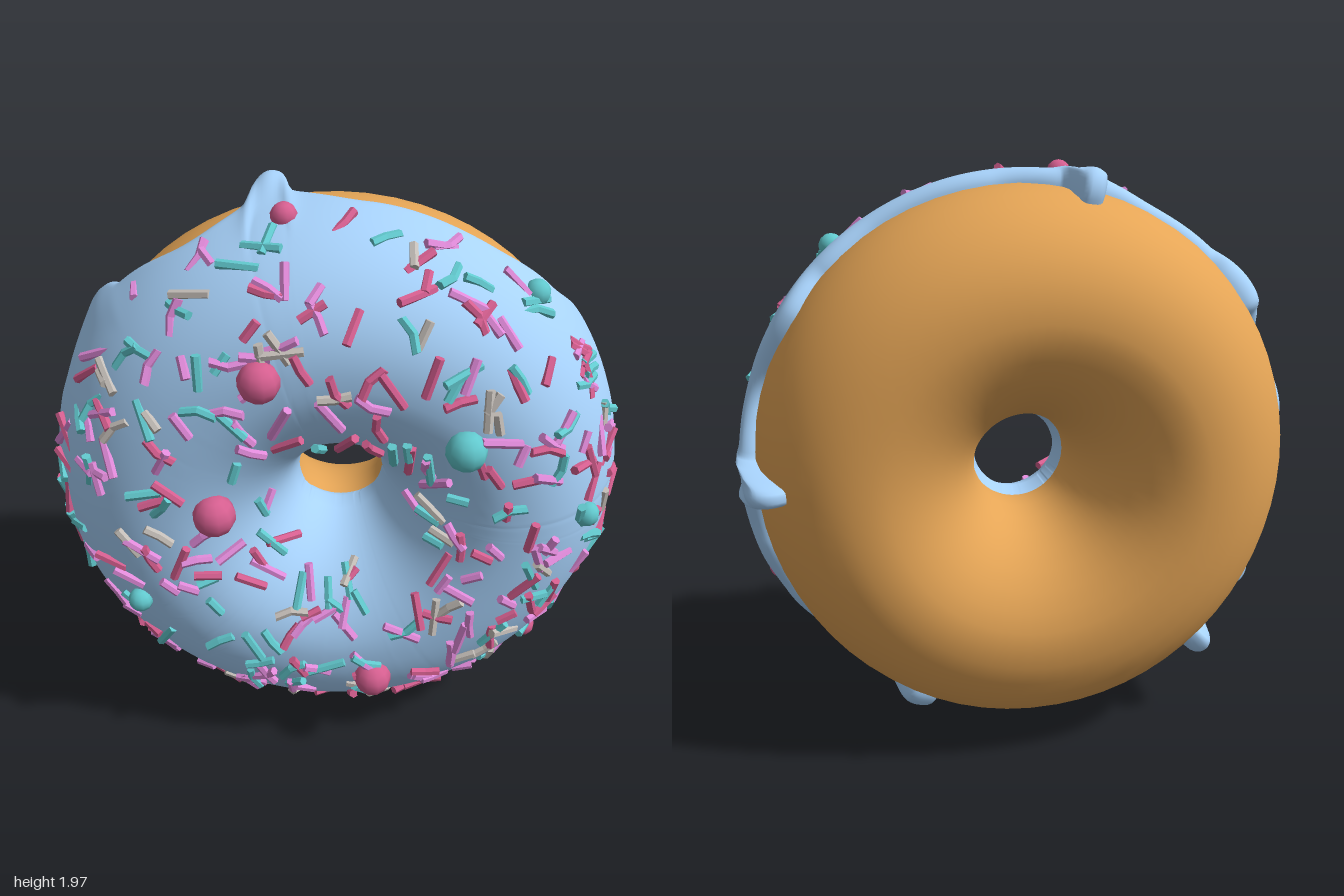
import * as THREE from 'three';

const RING = 0.54, TUBE_W = 0.38, TUBE_D = 0.445; // ring radius, tube half width and half depth
const YAW = 0.46;
const rad = THREE.MathUtils.degToRad;

let seed = 7;
const rnd = () => (seed = (seed * 16807) % 2147483647) / 2147483647;

// Point on the ring: phi runs round it, th round the tube (0 outside, 90 deg front)
function surf(phi, th, off = 0) {
  const c = Math.cos(th), s = Math.sin(th);
  const e = c < 0 ? 1.08 : s < 0 ? 0.97 : 0.93; // squarer outside, slimmer towards the hole
  const px = Math.sign(c) * Math.abs(c) ** e, pz = Math.sign(s) * Math.abs(s) ** e;
  const n = new THREE.Vector2(c / TUBE_W, s / TUBE_D).normalize();
  // Hand-made unevenness: a narrower, shallower side at phi = 0
  const uneven = 0.006 * Math.sin(3 * phi + 1) - 0.035 * Math.max(0, Math.cos(phi)) ** 2;
  const depth = s < 0 ? TUBE_D * (1 - 0.05 * (1 + Math.cos(phi))) : TUBE_D;
  const r = RING + TUBE_W * px + uneven * Math.max(0, c) + n.x * off;
  return new THREE.Vector3(r * Math.cos(phi), r * Math.sin(phi), depth * pz + n.y * off);
}

// Grid of points; wraps round phi, and round the tube when closed
function sheet(nu, nv, point, closed) {
  const pos = [], idx = [], rows = closed ? nv : nv + 1;
  for (let i = 0; i < nu; i++)
    for (let j = 0; j < rows; j++) pos.push(...point(i / nu * Math.PI * 2, j / nv).toArray());
  for (let i = 0; i < nu; i++)
    for (let j = 0; j < nv; j++) {
      const a = i * rows + j, b = ((i + 1) % nu) * rows + j;
      const k = (j + 1) % rows - j;
      idx.push(a, b, b + k, a, b + k, a + k);
    }
  const g = new THREE.BufferGeometry();
  g.setAttribute('position', new THREE.Float32BufferAttribute(pos, 3));
  g.setIndex(idx);
  g.computeVertexNormals();
  return g;
}

// Wavy icing edge: [degrees round the ring, depth of the edge]
const EDGE = [[0, -0.06], [18, 0.02], [35, -0.05], [46, 0.02], [60, 0.05], [85, 0.02], [100, -0.02],
  [120, 0.07], [135, 0.02], [148, -0.05], [158, 0.04], [172, -0.05], [190, 0.07], [205, 0.02],
  [225, -0.02], [242, 0.05], [258, 0.02], [275, 0], [290, 0.03], [300, 0], [315, 0.05],
  [330, 0], [345, -0.05], [360, -0.06]];
// Drips: [degrees, extra length, half width in degrees]
const DRIPS = [[0, 0.25, 3.2], [103, 0.17, 3.4], [143, 0.06, 6], [211, 0.1, 3.4], [228, 0.2, 3.4],
  [268, 0.06, 5], [293, 0.12, 4.5]];

function icingEdge(phi) {
  const d = THREE.MathUtils.euclideanModulo(phi * 180 / Math.PI, 360);
  const k = Math.max(1, EDGE.findIndex(e => e[0] > d));
  const [d0, z0] = EDGE[k - 1], [d1, z1] = EDGE[k];
  let z = THREE.MathUtils.lerp(z0, z1, THREE.MathUtils.smoothstep(d, d0, d1)), finger = 0;
  for (const [at, len, w] of DRIPS) {
    const q = Math.abs(THREE.MathUtils.euclideanModulo(d - at + 180, 360) - 180) / w;
    z -= len * (0.86 * Math.exp(-(q ** 6)) + 0.14 * Math.exp(-q * q / 8));
    finger = Math.max(finger, Math.min(1, len / 0.15) * Math.exp(-q * q));
  }
  return { th0: Math.asin(THREE.MathUtils.clamp(z / TUBE_D, -0.9, 0.9)), finger };
}

// Rounded rise of the icing from its border
const round = (d, r) => Math.sqrt(1 - (1 - THREE.MathUtils.clamp(d / r, 0, 1)) ** 2);

function icingPoint(phi, v) {
  const { th0, finger } = icingEdge(phi);
  const th1 = rad(176), th = th0 + (th1 - th0) * v ** 1.8;
  const rim = round((th - th0) * 0.42, 0.05 + 0.03 * finger) * round((th1 - th) * 0.42, 0.05);
  const outer = 0.02 * Math.max(0, Math.cos(th));
  const drop = 0.045 * finger * (1 - THREE.MathUtils.smoothstep(th, th0 + 0.1, th0 + 0.6));
  return surf(phi, th, -0.008 + rim * (0.035 + outer + drop));
}

// Short, sometimes bent, sugar strand
function strand(len, bend) {
  const g = new THREE.CylinderGeometry(0.015, 0.015, len, 6, 2);
  const p = g.attributes.position;
  for (let i = 0; i < p.count; i++)
    if (Math.abs(p.getY(i)) < 0.001) p.setX(i, p.getX(i) + bend);
  g.computeVertexNormals();
  return g;
}

// Nearest front surface point for a place seen straight on
function findSpot(x, y) {
  const axis = new THREE.Vector3(0, 1, 0);
  let best = null, score = Infinity;
  for (let i = 0; i < 180; i++)
    for (let j = 0; j < 60; j++) {
      const p = surf(i * Math.PI / 90, rad(15 + j * 2.5), 0.045);
      const w = p.clone().applyAxisAngle(axis, -YAW);
      const s = Math.hypot(w.x - x, w.y - y + 1) - 0.05 * w.z;
      if (s < score) { score = s; best = p; }
    }
  return best;
}

export function createModel() {
  const model = new THREE.Group();
  model.name = 'donut';
  const ring = new THREE.Group();
  ring.name = 'ring';
  ring.position.set(0, 1, -0.045);
  ring.rotation.y = -YAW;
  model.add(ring);

  const mat = (color, flatShading = false) => new THREE.MeshStandardMaterial({ color, flatShading });
  const add = (parent, name, geo, material) => {
    const m = new THREE.Mesh(geo, material);
    m.name = name;
    parent.add(m);
    return m;
  };

  // Dough
  add(ring, 'dough', sheet(64, 36, (phi, v) => surf(phi, v * Math.PI * 2), true), mat(0xe5a556));

  // Icing with drips
  const icing = mat(0xa8d3fc);
  icing.side = THREE.DoubleSide;
  add(ring, 'icing', sheet(540, 44, icingPoint, false), icing);

  // Strands scattered over the icing
  const sprinkles = new THREE.Group();
  sprinkles.name = 'sprinkles';
  ring.add(sprinkles);
  const pink = 0xd65f90, teal = 0x62cacf;
  const colors = [0xe08ad9, teal, pink, 0xc4beb8].map(c => mat(c, true));
  const shapes = [[0.07, 0], [0.09, 0], [0.11, 0], [0.13, 0], [0.1, 0.005], [0.11, 0.014]].map(s => strand(...s));
  for (let n = 0; n < 320;) {
    const phi = rnd() * Math.PI * 2, th = rad(20 + rnd() * 118);
    if (rnd() > (RING + TUBE_W * Math.cos(th)) / (RING + TUBE_W)) continue;
    const up = surf(phi, th, 1).sub(surf(phi, th)).normalize();
    const along = new THREE.Vector3(-Math.sin(phi), Math.cos(phi), 0)
      .applyAxisAngle(up, rnd() * Math.PI * 2).addScaledVector(up, (rnd() - 0.5) * 0.5).normalize();
    const side = new THREE.Vector3().crossVectors(along, up).normalize();
    const c = rnd();
    const m = add(sprinkles, 'strand', shapes[Math.floor(rnd() * shapes.length)],
      colors[c < 0.36 ? 0 : c < 0.64 ? 1 : c < 0.89 ? 2 : 3]);
    m.position.copy(surf(phi, th, 0.042));
    m.quaternion.setFromRotationMatrix(
      new THREE.Matrix4().makeBasis(side, along, new THREE.Vector3().crossVectors(side, along)));
    n++;
  }

  // Sugar pearls: x, y, radius, colour
  const pearls = [[-0.21, 1.97, 0.042, pink], [-0.42, 1.58, 0.065, pink], [-0.55, 1.07, 0.07, pink],
    [-0.11, 0.36, 0.065, pink], [0.71, 0.58, 0.04, pink], [0.48, 0.4, 0.04, pink],
    [0.45, 1.71, 0.042, teal], [0.12, 1.34, 0.065, teal], [0.54, 1.03, 0.042, teal], [-0.79, 0.7, 0.042, teal]];
  for (const [x, y, r, color] of pearls)
    add(sprinkles, 'pearl', new THREE.SphereGeometry(r, 10, 7), mat(color)).position.copy(findSpot(x, y));

  return model;
}
